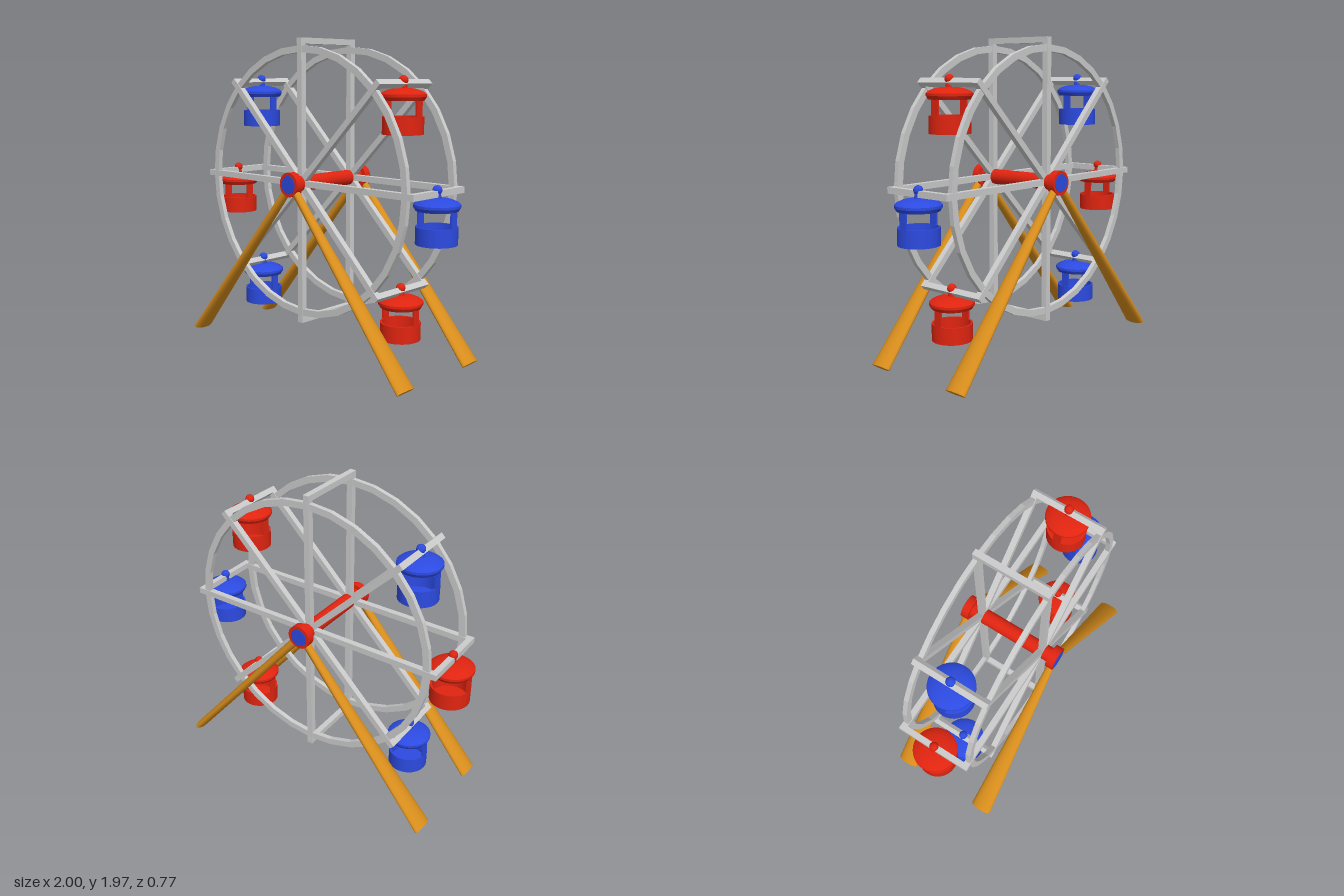
import * as THREE from 'three';

const material = (color) => new THREE.MeshStandardMaterial({ color, side: THREE.DoubleSide });
const grey = material(0xcccccc);
const red = material(0xe02410);
const blue = material(0x2c4ae0);
const wood = material(0xd98e1c);

const HUB_Y = 1.09;    // height of the axle
const SIDE_Z = 0.22;   // offset of each wheel rim
const ARM = 0.863;     // radius at which the crossbars sit

function add(parent, name, geometry, mat, x = 0, y = 0, z = 0) {
  const mesh = new THREE.Mesh(geometry, mat);
  mesh.name = name;
  mesh.position.set(x, y, z);
  parent.add(mesh);
  return mesh;
}

// Lathe with crisp edges: each profile segment is its own band
function crispLathe(parent, name, profile, mat) {
  const group = new THREE.Group();
  group.name = name;
  for (let i = 0; i < profile.length - 1; i++) {
    const points = [profile[i], profile[i + 1]].map(([r, y]) => new THREE.Vector2(r, y));
    add(group, name + 'Band', new THREE.LatheGeometry(points, 32), mat);
  }
  parent.add(group);
}

// Flat ring with a rectangular section
function rimGeometry() {
  const circle = (r) => Array.from({ length: 32 }, (_, i) => {
    const a = (i / 32) * Math.PI * 2;
    return new THREE.Vector2(Math.cos(a) * r, Math.sin(a) * r);
  });
  const shape = new THREE.Shape(circle(0.836));
  shape.holes.push(new THREE.Path(circle(0.795)));
  const geometry = new THREE.ExtrudeGeometry(shape, { depth: 0.03, bevelEnabled: false });
  return geometry.translate(0, 0, -0.015);
}

// Leg: round at the top, spreading to a wide oval foot
function legGeometry(length) {
  const geometry = new THREE.CylinderGeometry(0.026, 0.026, length, 28, 1);
  const p = geometry.attributes.position;
  for (let i = 0; i < p.count; i++) {
    const t = 0.5 - p.getY(i) / length;
    p.setZ(i, p.getZ(i) * (0.75 + 2.05 * t));
  }
  geometry.computeVertexNormals();
  return geometry;
}

// Hanging cabin, with its origin at the crossbar
function cabin(mat) {
  const group = new THREE.Group();
  group.name = 'cabin';
  add(group, 'hangerBall', new THREE.SphereGeometry(0.028, 20, 14), mat, 0, 0.02, 0);
  add(group, 'hangerNeck', new THREE.CylinderGeometry(0.02, 0.025, 0.06, 20), mat, 0, -0.015, 0);
  const dome = [[0, -0.024], [0.05, -0.026], [0.09, -0.034], [0.12, -0.047], [0.135, -0.06]];
  add(group, 'roofDome', new THREE.LatheGeometry(dome.map(([r, y]) => new THREE.Vector2(r, y)), 32), mat);
  crispLathe(group, 'roofEdge', [[0.135, -0.06], [0.135, -0.075], [0.122, -0.096], [0, -0.096]], mat);
  crispLathe(group, 'basket',
    [[0, -0.29], [0.122, -0.29], [0.122, -0.187], [0.11, -0.187], [0.11, -0.278], [0, -0.278]], mat);
  for (const side of [-1, 1]) {
    add(group, 'roofPost', new THREE.BoxGeometry(0.012, 0.1, 0.05), mat, side * 0.115, -0.141, 0);
  }
  return group;
}

export function createModel() {
  const model = new THREE.Group();
  model.name = 'ferrisWheel';

  const wheel = new THREE.Group();
  wheel.name = 'wheel';
  wheel.position.y = HUB_Y;
  model.add(wheel);

  // Two rims, each with four full-width spokes
  const rim = rimGeometry();
  const spoke = new THREE.BoxGeometry(1.76, 0.038, 0.038);
  for (const side of [-1, 1]) {
    add(wheel, 'rim', rim, grey, 0, 0, side * SIDE_Z);
    for (let i = 0; i < 4; i++) {
      add(wheel, 'spoke', spoke, grey, 0, 0, side * SIDE_Z).rotation.z = (i * Math.PI) / 4;
    }
  }

  // Crossbars joining the spoke ends
  const bar = new THREE.BoxGeometry(0.036, 0.038, 0.48);
  for (let i = 0; i < 8; i++) {
    const a = (i * Math.PI) / 4;
    add(wheel, 'crossbar', bar, grey, Math.cos(a) * ARM, Math.sin(a) * ARM, 0).rotation.z = a;
  }

  // Axle, hubs and hub caps
  const axle = (r, length) => new THREE.CylinderGeometry(r, r, length, 32).rotateX(Math.PI / 2);
  add(wheel, 'axle', axle(0.048, 0.6), red);
  for (const side of [-1, 1]) {
    add(wheel, 'hub', axle(0.075, 0.05), red, 0, 0, side * 0.31);
    add(wheel, 'hubCap', axle(0.056, 0.01), blue, 0, 0, side * 0.333);
  }

  // Six cabins; the top and bottom crossbars stay empty
  const cabins = [[0, blue], [1, red], [3, blue], [4, red], [5, blue], [7, red]];
  for (const [i, mat] of cabins) {
    const a = (i * Math.PI) / 4;
    const c = cabin(mat);
    c.position.set(Math.cos(a) * ARM, Math.sin(a) * ARM, 0);
    wheel.add(c);
  }

  // A-frame legs
  const footX = 0.902, footY = 0.02;
  const rise = HUB_Y - footY;
  const leg = legGeometry(Math.hypot(footX, rise));
  for (const z of [-0.311, 0.311]) {
    for (const side of [-1, 1]) {
      const mesh = add(model, 'leg', leg, wood, (side * footX) / 2, footY + rise / 2, z);
      mesh.rotation.z = side * Math.atan2(footX, rise);
    }
  }
  return model;
}
